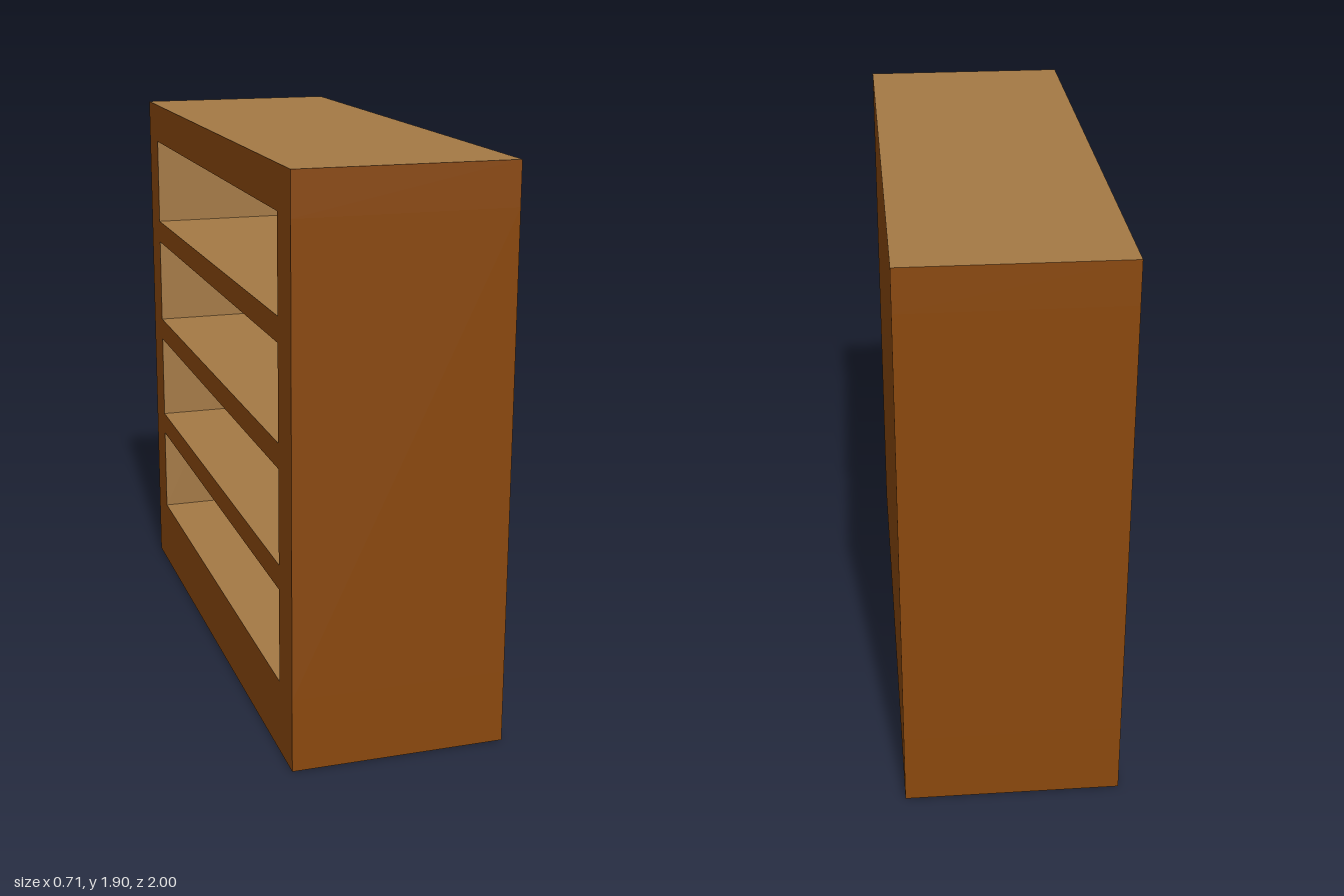
import * as THREE from 'three';

const W = 0.714, H = 1.9, L = 2;       // x depth, height, z length
const WALL = 0.143, BACK = 0.1;        // end walls, rear panel
const BASE = 0.245, OPENING = 0.316, PITCH = 0.399, BAYS = 4;

export function createModel() {
  const model = new THREE.Group();
  model.name = 'bookcase';

  const flat = (name, color) => {
    const m = new THREE.MeshStandardMaterial({ color });
    m.name = name;
    return m;
  };
  const brown = flat('brown wood', 0x8a480d);
  const tan = flat('tan wood', 0xa47945);
  const black = flat('black underside', 0x050505);

  // Board between two corners; materials run +x, -x, +y, -y, +z, -z
  const board = (name, [x0, y0, z0], [x1, y1, z1], materials) => {
    const mesh = new THREE.Mesh(new THREE.BoxGeometry(x1 - x0, y1 - y0, z1 - z0), materials);
    mesh.position.set((x0 + x1) / 2, (y0 + y1) / 2, (z0 + z1) / 2);
    mesh.name = name;
    model.add(mesh);
  };

  const x = W / 2, z = L / 2, inner = z - WALL, rear = x - BACK;
  const ceiling = BASE + PITCH * (BAYS - 1) + OPENING;

  // Outer case, open towards -x
  board('base', [-x, 0, -z], [x, BASE, z], [brown, brown, tan, black, brown, brown]);
  board('topBoard', [-x, ceiling, -z], [x, H, z], [brown, brown, tan, tan, brown, brown]);
  board('frontEndWall', [-x, BASE, inner], [x, ceiling, z], [brown, brown, tan, tan, brown, tan]);
  board('backEndWall', [-x, BASE, -z], [x, ceiling, -inner], [brown, brown, tan, tan, tan, brown]);
  board('rearPanel', [rear, BASE, -inner], [x, ceiling, inner], [brown, tan, tan, tan, tan, tan]);

  // Shelves with brown edges
  for (let i = 1; i < BAYS; i++) {
    const top = BASE + PITCH * i;
    board('shelf' + i, [-x, top - PITCH + OPENING, -inner], [rear, top, inner],
      [tan, brown, tan, tan, tan, tan]);
  }
  return model;
}
